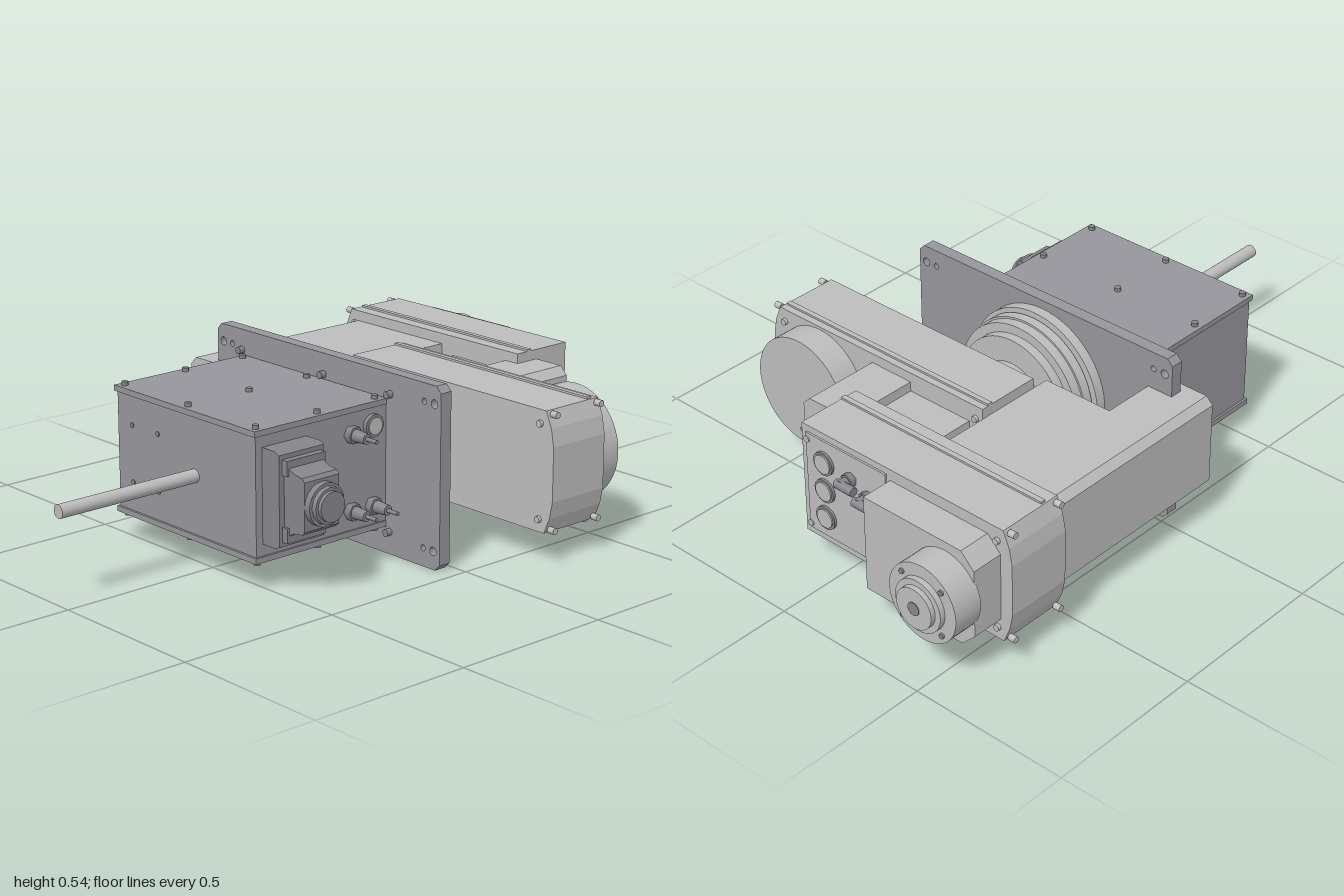
import * as THREE from 'three';

const bodyGrey = new THREE.MeshStandardMaterial({ color: 0x96959b, name: 'body grey' });
const armGrey = new THREE.MeshStandardMaterial({ color: 0xbcbcbc, name: 'arm grey' });
const fittingGrey = new THREE.MeshStandardMaterial({ color: 0x85858b, name: 'fitting grey' });

const CX = -0.03, CY = 0.27; // main axis

export function createModel() {
  const model = new THREE.Group();
  model.name = 'scissorArmUnit';

  const add = (name, geo, mat) => {
    const m = new THREE.Mesh(geo, mat);
    m.name = name;
    model.add(m);
    return m;
  };
  const box = (name, mat, x0, x1, y0, y1, z0, z1) => {
    const g = new THREE.BoxGeometry(x1 - x0, y1 - y0, z1 - z0);
    g.translate((x0 + x1) / 2, (y0 + y1) / 2, (z0 + z1) / 2);
    return add(name, g, mat);
  };
  // round part between two positions along an axis; c holds the other two coordinates
  const rod = (name, mat, axis, c, a, b, r, r2 = r, sides = 40) => {
    const g = new THREE.CylinderGeometry(r2, r, b - a, sides);
    const mid = (a + b) / 2;
    if (axis === 'z') g.rotateX(Math.PI / 2).translate(c[0], c[1], mid);
    else if (axis === 'x') g.rotateZ(-Math.PI / 2).translate(mid, c[0], c[1]);
    else g.translate(c[0], mid, c[1]);
    return add(name, g, mat);
  };
  // outline in x,y pushed along z, with optional round holes [x, y, r]
  const slab = (name, mat, pts, z0, z1, holes = []) => {
    const s = new THREE.Shape(pts.map(p => new THREE.Vector2(...p)));
    for (const [x, y, r] of holes) {
      const h = new THREE.Path();
      h.absarc(x, y, r, 0, Math.PI * 2, true);
      s.holes.push(h);
    }
    const g = new THREE.ExtrudeGeometry(s, { depth: z1 - z0, bevelEnabled: false, curveSegments: 10 });
    g.translate(0, 0, z0);
    return add(name, g, mat);
  };
  // rectangle with chamfers: l on the left corners, r on the right corners
  const chamfered = (x0, x1, y0, y1, l, r) => [
    [x0 + l, y0], [x1 - r, y0], [x1, y0 + r], [x1, y1 - r],
    [x1 - r, y1], [x0 + l, y1], [x0, y1 - l], [x0, y0 + l],
  ].filter((p, i, a) => i === 0 || p[0] !== a[i - 1][0] || p[1] !== a[i - 1][1]);

  // mounting plate with corner holes
  const holes = [];
  for (const y of [0.055, 0.482]) {
    for (const x of [-0.48, 0.427]) holes.push([x, y, 0.013]);
    for (const x of [-0.44, 0.387]) holes.push([x, y, 0.009]);
  }
  slab('mountingPlate', bodyGrey, chamfered(-0.507, 0.453, 0, 0.535, 0.018, 0.018), 0.018, 0.057, holes);
  for (const x of [-0.393, CX, 0.25])
    for (const y of [0.067, 0.473]) rod('plateScrew', fittingGrey, 'z', [x, y], 0.055, 0.075, 0.011, 0.011, 12);
  rod('plateScrew', fittingGrey, 'z', [-0.393, CY], 0.055, 0.075, 0.011, 0.011, 12);

  // control box with lids
  box('controlBox', bodyGrey, -0.375, 0.232, 0.098, 0.442, 0.055, 0.535);
  box('topLid', bodyGrey, -0.382, 0.238, 0.442, 0.459, 0.06, 0.542);
  box('bottomLid', bodyGrey, -0.382, 0.238, 0.081, 0.098, 0.06, 0.542);
  for (const x of [-0.36, -0.073, 0.216])
    for (const z of [0.085, 0.3, 0.52]) {
      rod('lidScrew', fittingGrey, 'y', [x, z], 0.457, 0.47, 0.01, 0.01, 12);
      rod('lidScrew', fittingGrey, 'y', [x, z], 0.07, 0.083, 0.01, 0.01, 12);
    }
  for (const x of [-0.31, -0.193])
    for (const y of [0.184, 0.354]) rod('frontHole', fittingGrey, 'z', [x, y], 0.53, 0.538, 0.008, 0.008, 12);
  rod('driveShaft', armGrey, 'z', [CX, CY], 0.53, 1, 0.02);

  // plug on the side of the control box, mirrored about its own axis
  const half = [[0.23, 0.138], [0.285, 0.138], [0.302, 0.13], [0.302, 0.108], [0.336, 0.085], [0.34, 0.06]];
  const mirrored = h => [...h.map(([x, d]) => [x, CY - d]), ...h.slice().reverse().map(([x, d]) => [x, CY + d])];
  slab('plugSocket', fittingGrey, mirrored(half.slice(0, 4)), 0.352, 0.512);
  slab('plugHood', fittingGrey, mirrored([[0.3, 0.108], [0.34, 0.085], [0.375, 0.08], [0.385, 0.07]]), 0.37, 0.494);
  for (const y of [0.175, 0.365]) box('plugLatch', fittingGrey, 0.295, 0.322, y - 0.022, y + 0.022, 0.363, 0.501);
  rod('plugCollar', fittingGrey, 'x', [CY, 0.432], 0.38, 0.405, 0.062);
  rod('plugGland', fittingGrey, 'x', [CY, 0.432], 0.4, 0.418, 0.055, 0.052, 12);
  rod('plugNut', fittingGrey, 'x', [CY, 0.432], 0.415, 0.43, 0.043);

  // air fittings and sealed port beside the plug
  for (const [y, z] of [[0.38, 0.19], [0.155, 0.19], [0.155, 0.11]]) {
    rod('fittingNut', fittingGrey, 'x', [y, z], 0.23, 0.255, 0.026, 0.026, 6);
    rod('fittingBody', fittingGrey, 'x', [y, z], 0.25, 0.3, 0.019, 0.015, 20);
    rod('fittingTip', fittingGrey, 'x', [y, z], 0.3, 0.34, 0.006, 0.006, 12);
  }
  rod('sealedPort', fittingGrey, 'x', [0.39, 0.11], 0.23, 0.245, 0.033);
  rod('sealedPortCap', armGrey, 'x', [0.39, 0.11], 0.24, 0.249, 0.025);

  // stepped shoulder bearing, turned about the main axis
  const profile = [[0, -0.02], [0.238, -0.02], [0.238, 0.014], [0.212, 0.014], [0.212, 0.022], [0.226, 0.022],
    [0.226, 0.052], [0.22, 0.052], [0.22, 0.083], [0.192, 0.083], [0.192, 0.112], [0.17, 0.112], [0, 0.112]];
  for (let i = 0; i < profile.length - 1; i++) {
    const g = new THREE.LatheGeometry([profile[i], profile[i + 1]].map(p => new THREE.Vector2(...p)), 64);
    g.rotateX(-Math.PI / 2).translate(CX, CY, 0);
    add('shoulderBearing', g, armGrey);
  }
  rod('shoulderNeck', armGrey, 'z', [CX, CY], -0.21, -0.1, 0.115);

  // an arm: rounded far end, lid ridges above and below, corner screws
  const arm = (name, inner, outer, z0, z1, ridge) => {
    const s = Math.sign(outer);
    const end = [[-0.03, 0.092], [-0.01, 0.14], [0, 0.19], [0, 0.35], [-0.01, 0.402], [-0.03, 0.45]];
    const pts = [[inner, 0.092], ...end.map(([d, y]) => [outer + s * d, y]), [inner, 0.45]];
    slab(name, armGrey, s > 0 ? pts : pts.reverse(), z0, z1);
    const a = Math.min(inner, outer - s * 0.035), b = Math.max(inner, outer - s * 0.035);
    for (const y of [0.089, 0.453]) {
      box(name + 'Ridge', armGrey, a, b, y - 0.003, y + 0.003, ridge - 0.008, ridge + 0.008);
      for (const z of [z0 + 0.015, z1 - 0.015]) {
        const yy = y < CY ? 0.102 : 0.44;
        const xs = [outer - s * 0.022, outer];
        rod(name + 'EndScrew', armGrey, 'x', [yy, z], Math.min(...xs), Math.max(...xs), 0.01, 0.01, 12);
      }
      for (const x of [inner + s * 0.025, outer - s * 0.05])
        for (const [za, zb] of [[z0 - 0.01, z0 + 0.002], [z1 - 0.002, z1 + 0.01]])
          rod(name + 'Screw', armGrey, 'z', [x, y < CY ? 0.13 : 0.41], za, zb, 0.01, 0.01, 12);
    }
  };

  // lower arm with its round cover and gearbox
  arm('lowerArm', -0.193, 0.633, -0.41, -0.203, -0.38);
  rod('elbowCover', armGrey, 'z', [0.44, CY], -0.495, -0.405, 0.171, 0.171, 64);
  rod('elbowCoverScrew', fittingGrey, 'z', [0.44, 0.14], -0.498, -0.49, 0.009, 0.009, 12);
  slab('gearbox', armGrey, chamfered(0.08, 0.255, 0.12, 0.42, 0, 0.025), -0.655, -0.405);
  box('elbowNeck', armGrey, -0.143, 0.095, 0.15, 0.39, -0.58, -0.4);

  // upper arm with the large motor housing reaching forward
  arm('upperArm', 0.13, -0.637, -0.78, -0.573, -0.622);
  slab('motorHousing', armGrey, chamfered(-0.597, -0.193, 0.122, 0.418, 0.022, 0), -0.58, -0.148);
  slab('motorHousingNose', armGrey, chamfered(-0.597, -0.423, 0.122, 0.418, 0.022, 0), -0.15, 0.088);

  // wrist motor box and output flange
  slab('wristHousing', armGrey, chamfered(-0.597, -0.203, 0.115, 0.415, 0.045, 0), -0.88, -0.775);
  const wx = -0.497;
  rod('wristDrum', armGrey, 'z', [wx, CY], -0.968, -0.875, 0.118, 0.118, 56);
  rod('wristStep', armGrey, 'z', [wx, CY], -0.985, -0.965, 0.08);
  rod('wristFlange', armGrey, 'z', [wx, CY], -1, -0.983, 0.062);
  rod('wristBore', fittingGrey, 'z', [wx, CY], -1.002, -0.997, 0.02, 0.02, 24);
  for (let i = 0; i < 4; i++) {
    const t = Math.PI / 4 + i * Math.PI / 2;
    rod('wristScrew', fittingGrey, 'z', [wx + 0.098 * Math.cos(t), CY + 0.098 * Math.sin(t)], -0.974, -0.965, 0.008, 0.008, 12);
  }

  // service panel on the back of the upper arm
  box('servicePanel', armGrey, -0.19, 0.11, 0.115, 0.43, -0.786, -0.775);
  for (const y of [0.18, 0.27, 0.36]) {
    rod('portRing', fittingGrey, 'z', [0.04, y], -0.794, -0.78, 0.036);
    rod('portCap', armGrey, 'z', [0.04, y], -0.798, -0.79, 0.029);
  }
  for (const [x, y] of [[-0.06, 0.355], [-0.125, 0.325]]) {
    rod('elbowFittingStem', fittingGrey, 'z', [x, y], -0.83, -0.78, 0.015, 0.015, 16);
    rod('elbowFittingNut', fittingGrey, 'z', [x, y], -0.805, -0.785, 0.022, 0.022, 6);
    rod('elbowFittingHead', fittingGrey, 'x', [y, -0.825], x - 0.05, x + 0.015, 0.014, 0.014, 16);
  }
  return model;
}
